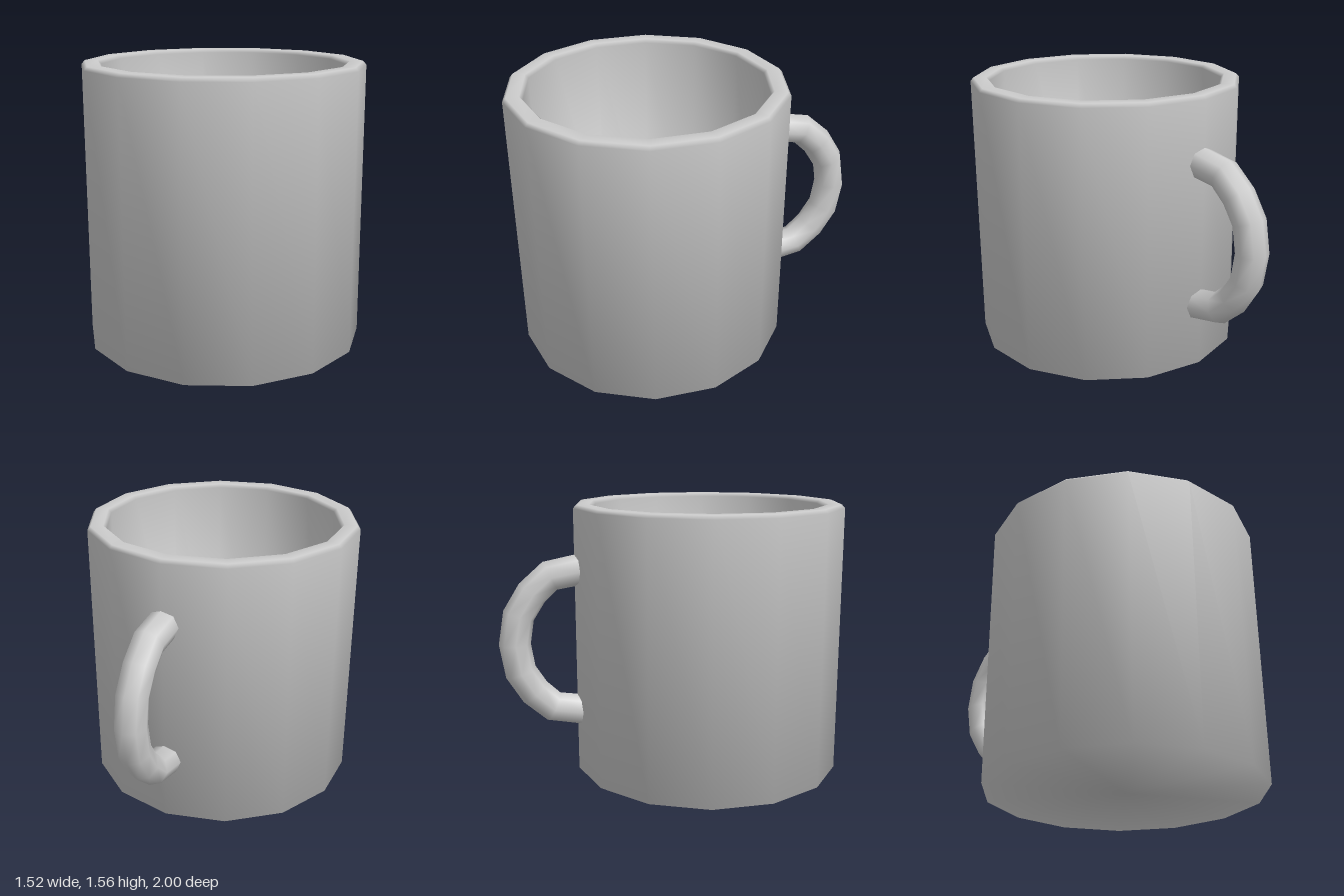
import * as THREE from 'three';

const SIDES = 14;
const BODY_Z = 0.22;

// Cup wall, rounded rim, inside and base as one smooth lathe
function makeBody(material) {
  const profile = [
    [0, 0], [0.78, 0], [0.78, 1.54], [0.762, 1.56],
    [0.69, 1.56], [0.672, 1.54], [0.672, 0.1], [0, 0.1],
  ].map(([r, y]) => new THREE.Vector2(r, y));
  const body = new THREE.Mesh(new THREE.LatheGeometry(profile, SIDES), material);
  body.name = 'cupBody';
  body.position.z = BODY_Z;
  return body;
}

// Octagonal tube, mirrored about its middle height
function makeHandle(material) {
  const midY = 0.78;
  const upper = [[-0.53, 0.415], [-0.7, 0.385], [-0.805, 0.29], [-0.883, 0.165]];
  const point = (z, dy) => new THREE.Vector3(0, midY + dy, z);
  const path = new THREE.CatmullRomCurve3([
    ...upper.map(([z, dy]) => point(z, dy)),
    point(-0.91, 0),
    ...upper.slice().reverse().map(([z, dy]) => point(z, -dy)),
  ]);
  // One ring exactly at each path point
  path.getPointAt = (t, target) => path.getPoint(t, target);
  path.getTangentAt = (t, target) => path.getTangent(t, target);
  const handle = new THREE.Mesh(new THREE.TubeGeometry(path, 8, 0.09, 8, false), material);
  handle.name = 'handle';
  return handle;
}

export function createModel() {
  const material = new THREE.MeshStandardMaterial({ color: 0xcccccc, side: THREE.DoubleSide });
  const mug = new THREE.Group();
  mug.name = 'mug';
  mug.add(makeBody(material), makeHandle(material));
  return mug;
}
